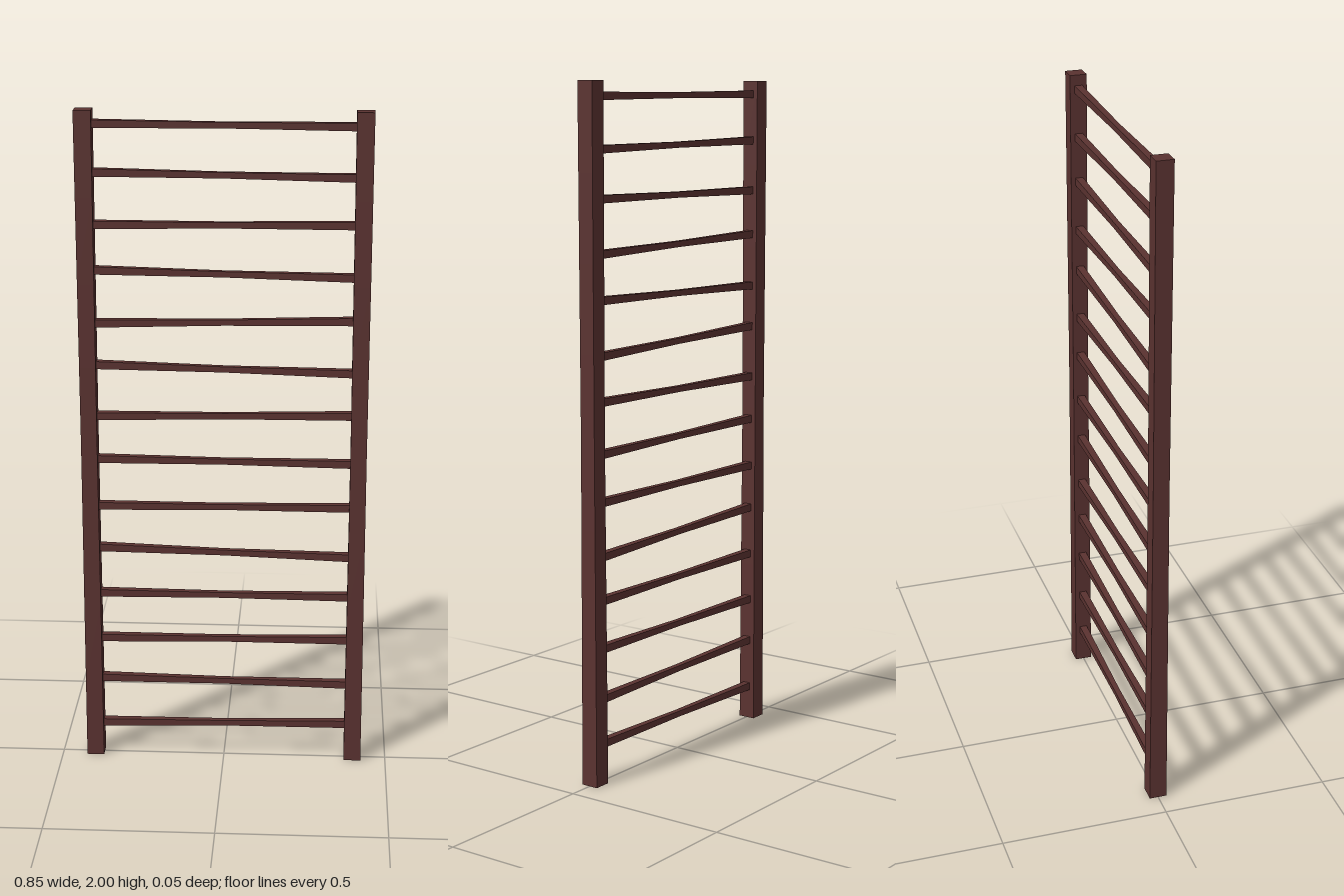
import * as THREE from 'three';

const wood = new THREE.MeshStandardMaterial({ color: 0x5a3230, flatShading: true });

// Square bar along y, slightly waisted: half-thickness blends from the ends to the middle
function waistedBar(length, startHalf, midHalf, endHalf) {
  const geo = new THREE.BoxGeometry(1, length, 1, 1, 8, 1);
  const pos = geo.attributes.position;
  for (let i = 0; i < pos.count; i++) {
    const t = (pos.getY(i) / length) * 2; // -1 at start, 1 at end
    const half = midHalf + ((t < 0 ? startHalf : endHalf) - midHalf) * Math.abs(t);
    pos.setX(i, Math.sign(pos.getX(i)) * half);
    pos.setZ(i, Math.sign(pos.getZ(i)) * half);
  }
  geo.computeVertexNormals();
  return geo;
}

// Heights of each rung at its -x and +x ends, bottom to top
const rungs = [
  [0.103, 0.114], [0.255, 0.247], [0.388, 0.395], [0.536, 0.536], [0.684, 0.664],
  [0.817, 0.822], [0.965, 0.96], [1.098, 1.109], [1.255, 1.238], [1.38, 1.395],
  [1.538, 1.523], [1.671, 1.676], [1.822, 1.812], [1.96, 1.957],
];

export function createModel() {
  const ladder = new THREE.Group();
  ladder.name = 'ladder';

  // Two upright rails
  for (const side of [-1, 1]) {
    const rail = new THREE.Mesh(waistedBar(2, 0.0262, 0.0238, 0.0252), wood);
    rail.name = side > 0 ? 'leftRail' : 'rightRail';
    rail.position.set(side * 0.398, 1, 0);
    ladder.add(rail);
  }

  // Uneven rungs set into the rails
  rungs.forEach(([y0, y1], i) => {
    const span = 0.77;
    const rung = new THREE.Mesh(waistedBar(span, 0.0115, 0.0085, 0.0115), wood);
    rung.name = `rung${i + 1}`;
    rung.position.y = (y0 + y1) / 2;
    rung.rotation.z = Math.atan2(y1 - y0, span) - Math.PI / 2;
    ladder.add(rung);
  });

  return ladder;
}
